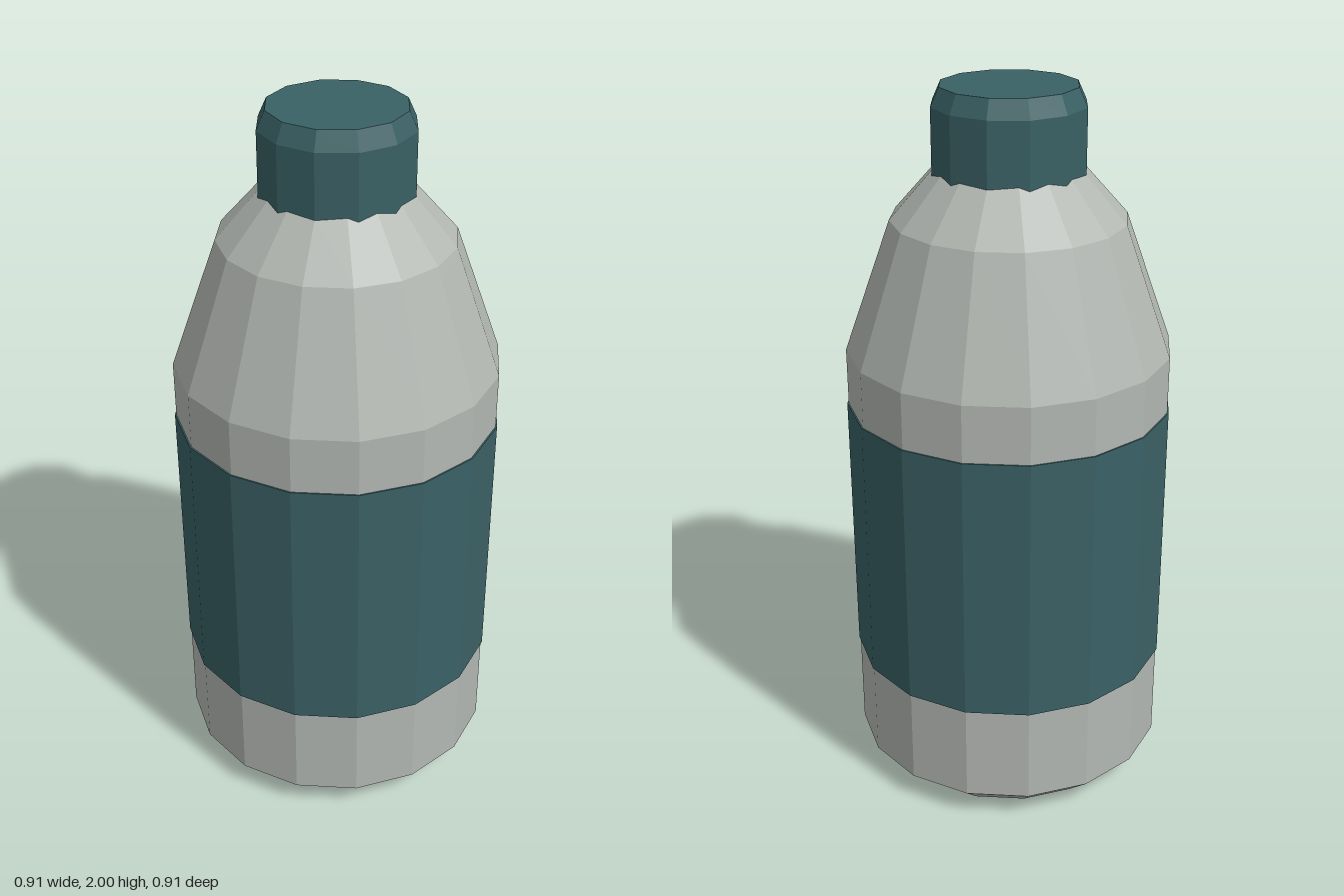
import * as THREE from 'three';

const bottleGrey = new THREE.MeshStandardMaterial({ name: 'bottleGrey', color: 0xb3b8b3, flatShading: true });
const darkTeal = new THREE.MeshStandardMaterial({ name: 'darkTeal', color: 0x3a6165, flatShading: true });

// Revolve an [radius, height] profile, listed from bottom to top, into a faceted solid
function turned(name, profile, sides, material) {
  const points = profile.map(([r, y]) => new THREE.Vector2(r, y));
  const mesh = new THREE.Mesh(new THREE.LatheGeometry(points, sides), material);
  mesh.name = name;
  return mesh;
}

export function createModel() {
  const bottle = new THREE.Group();
  bottle.name = 'bottle';

  // Body with bevelled base, sloping shoulder and a neck hidden under the cap
  bottle.add(turned('body', [
    [0, 0], [0.36, 0], [0.449, 0.08], [0.449, 1.29],
    [0.32, 1.65], [0.2, 1.785], [0, 1.785],
  ], 16, bottleGrey));

  // Thin label band wrapped around the body
  bottle.add(turned('label', [
    [0.448, 0.363], [0.453, 0.363], [0.453, 1.13], [0.448, 1.13],
  ], 16, darkTeal));

  // Screw cap with a bevelled top
  bottle.add(turned('cap', [
    [0, 1.77], [0.208, 1.77], [0.208, 1.95], [0.185, 2], [0, 2],
  ], 12, darkTeal));

  return bottle;
}
